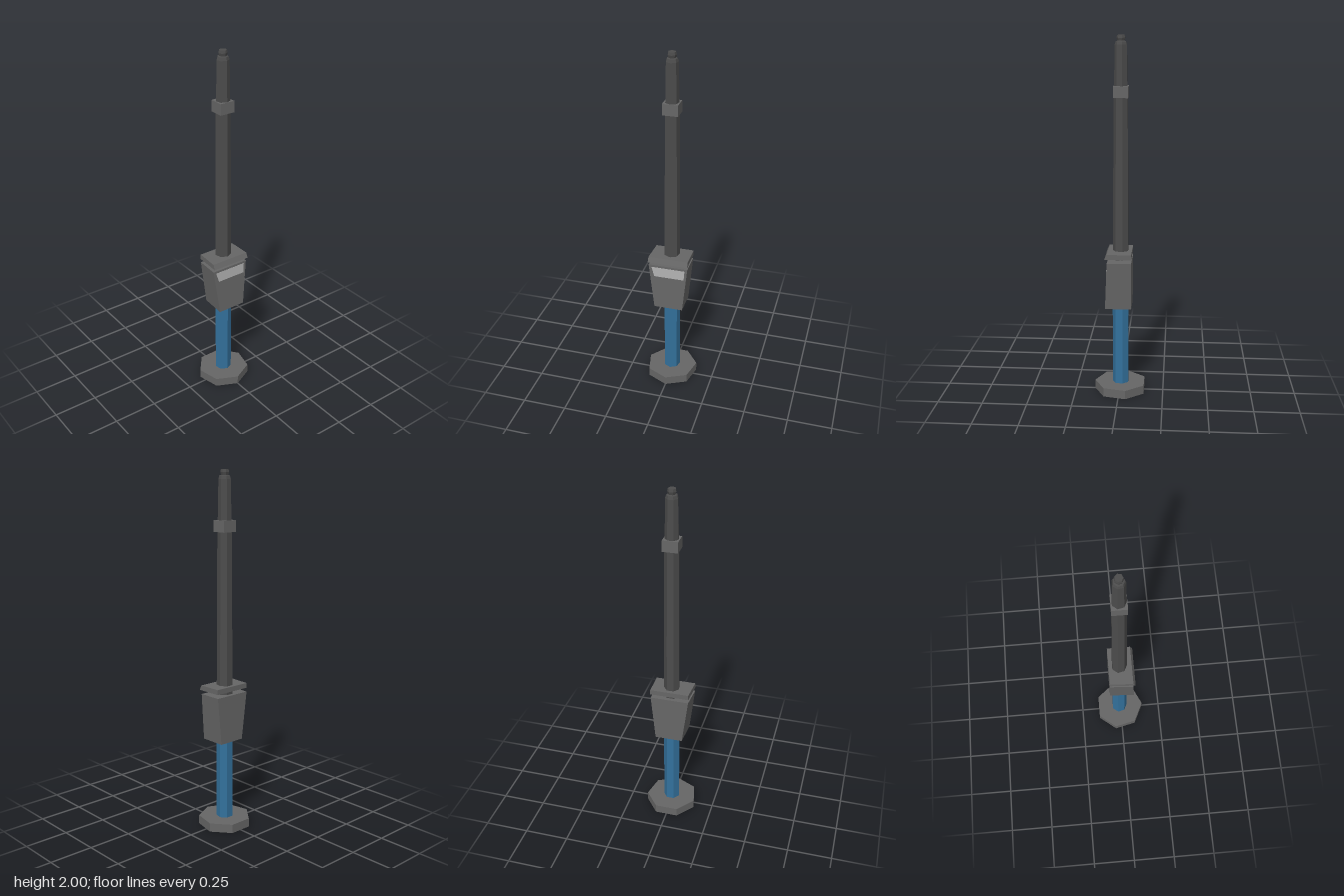
import * as THREE from 'three';

const AXIS_X = -0.008; // the seven-sided parts share this axis

function material(color) {
  return new THREE.MeshStandardMaterial({ color, flatShading: true, side: THREE.DoubleSide });
}

// Seven-sided turned part from [radius, height] points, one corner towards +x
function turned(name, points, mat) {
  const profile = points.map(([r, y]) => new THREE.Vector2(r, y));
  const mesh = new THREE.Mesh(new THREE.LatheGeometry(profile, 7), mat);
  mesh.rotation.y = Math.PI / 2;
  mesh.position.x = AXIS_X;
  mesh.name = name;
  return mesh;
}

// Box whose lower and upper ends are given as [xMin, xMax, zMin, zMax];
// skew pulls in the front corner on the -x side
function taperedBox(name, y0, y1, lower, upper, skew, mat) {
  const geo = new THREE.BoxGeometry(1, 1, 1);
  const p = geo.attributes.position;
  for (let i = 0; i < p.count; i++) {
    const top = p.getY(i) > 0;
    const end = top ? upper : lower;
    const right = p.getX(i) > 0;
    const front = p.getZ(i) > 0;
    const z = front ? end[3] - (right ? 0 : skew) : end[2];
    p.setXYZ(i, right ? end[1] : end[0], top ? y1 : y0, z);
  }
  geo.computeVertexNormals();
  const mesh = new THREE.Mesh(geo, mat);
  mesh.name = name;
  return mesh;
}

export function createModel() {
  const model = new THREE.Group();
  const dark = material(0x4c4c4c);
  const grey = material(0x666666);
  const light = material(0xb0b0b0);
  const blue = material(0x33719c);

  // Foot, open underneath, with a hole for the grip
  model.add(turned('foot', [[0.148, 0], [0.148, 0.05], [0.046, 0.05]], grey));

  // Hollow blue grip
  model.add(turned('grip', [[0.047, 0.05], [0.047, 0.53]], blue));

  // Housing, wider at the top, with a sloping +x face
  model.add(taperedBox('housing', 0.51, 0.78,
    [-0.07, 0.076, -0.082, 0.082], [-0.07, 0.064, -0.108, 0.117], 0.008, grey));

  // Light panel lying on the sloping face
  model.add(taperedBox('panel', 0.71, 0.767,
    [0.06, 0.0685, -0.088, 0.083], [0.06, 0.066, -0.092, 0.1], 0, light));

  // Cover plate above the housing
  model.add(taperedBox('coverPlate', 0.802, 0.83,
    [-0.07, 0.077, -0.11, 0.118], [-0.07, 0.064, -0.11, 0.117], 0.008, grey));

  // Long tapering shaft with a small stepped tip
  model.add(turned('shaft', [
    [0.045, 0.77], [0.044, 1.1], [0.04, 1.67], [0.038, 1.73], [0.034, 1.95],
    [0.029, 1.967], [0.02, 1.97], [0.024, 1.985], [0.021, 2], [0, 2],
  ], dark));

  // Square collar
  const collar = new THREE.Mesh(new THREE.BoxGeometry(0.081, 0.062, 0.086), grey);
  collar.position.set(AXIS_X, 1.704, 0);
  collar.name = 'collar';
  model.add(collar);

  return model;
}
